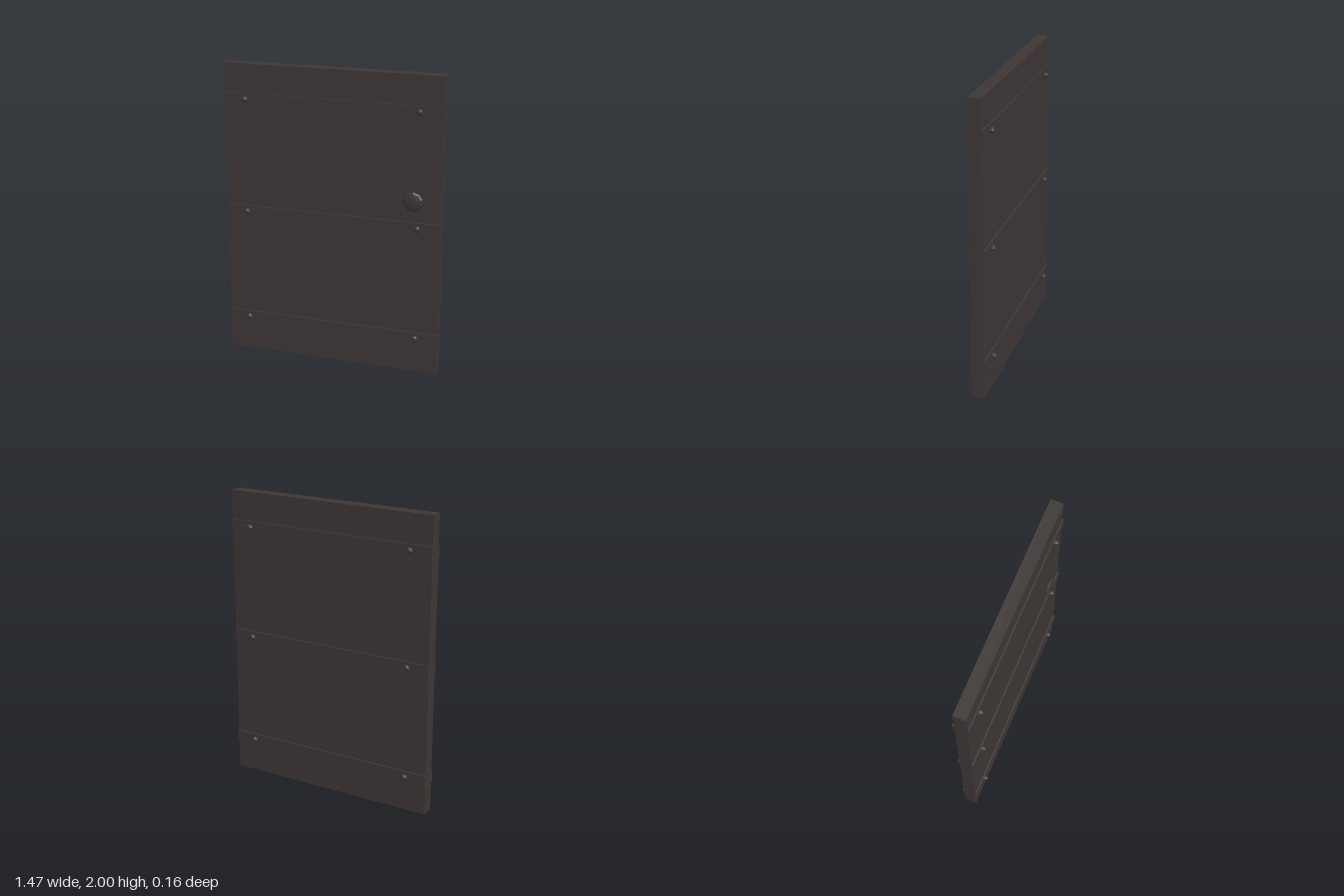
import * as THREE from 'three';

export function createModel() {
  const door = new THREE.Group();
  door.name = 'door';
  const darkWood = new THREE.MeshStandardMaterial({ color: 0x3d3635, flatShading: true });
  darkWood.name = 'darkWood';

  const add = (name, geometry, x, y, z) => {
    const mesh = new THREE.Mesh(geometry, darkWood);
    mesh.name = name;
    mesh.position.set(x, y, z);
    door.add(mesh);
    return mesh;
  };

  // Slab
  add('panel', new THREE.BoxGeometry(1.47, 2, 0.084), 0, 1, 0);

  // Faceted stud: a tapered profile turned about z, base at z = 0
  const studGeometry = (sides, points) => new THREE.LatheGeometry(
    points.map(([r, h]) => new THREE.Vector2(r, h)), sides).rotateX(Math.PI / 2);
  const bolt = studGeometry(8, [[0.021, 0], [0.021, 0.012], [0.012, 0.024], [0, 0.027]]);
  const strap = new THREE.BoxGeometry(1.47, 0.08, 0.012);

  // Cross straps with a bolt near each end, on both faces
  for (const side of [1, -1]) {
    for (const y of [0.24, 1.003, 1.767]) {
      add('strap', strap, 0, y, side * 0.047);
      for (const x of [-0.588, 0.588]) {
        const stud = add('bolt', bolt, x, y, side * 0.051);
        if (side < 0) stud.rotation.y = Math.PI;
      }
    }
  }

  // Low round knob, front only
  add('knob', studGeometry(10, [[0.06, 0], [0.066, 0.012], [0.056, 0.022], [0.034, 0.028], [0, 0.031]]),
    0.555, 1.18, 0.038);
  return door;
}
